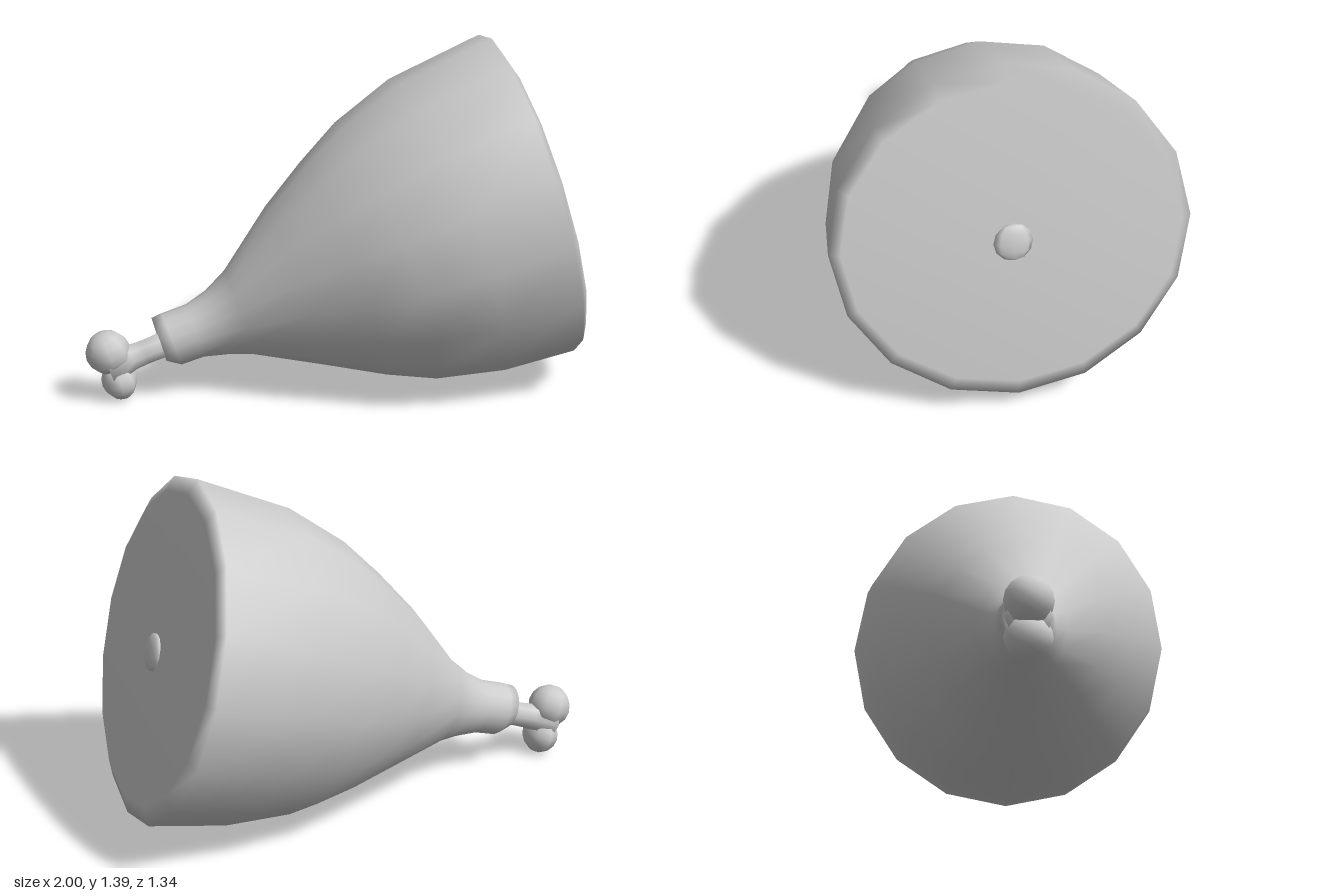
import * as THREE from 'three';

const SIDES = 16;

// Closed loft through oval rings. Each ring: [topX, topY, bottomX, bottomY, halfWidth, yaw]
function loft(rings, sides) {
  const pos = [], index = [];
  const mid = ([tx, ty, bx, by]) => [(tx + bx) / 2, (ty + by) / 2, 0];
  for (const ring of rings) {
    const [tx, ty, bx, by, w, yaw = 0] = ring;
    const [cx, cy] = mid(ring);
    for (let i = 0; i < sides; i++) {
      const a = (i / sides) * Math.PI * 2;
      const c = Math.cos(a), z = w * Math.sin(a);
      pos.push(cx + (c * (tx - bx)) / 2 - yaw * z, cy + (c * (ty - by)) / 2 - yaw * z * 0.2, z);
    }
  }
  const start = pos.length / 3, end = start + 1, last = (rings.length - 1) * sides;
  pos.push(...mid(rings[0]), ...mid(rings[rings.length - 1]));
  for (let i = 0; i < sides; i++) {
    const j = (i + 1) % sides;
    for (let r = 0; r < last; r += sides) {
      index.push(r + i, r + j, r + sides + i, r + j, r + sides + j, r + sides + i);
    }
    index.push(start, j, i, end, last + i, last + j);
  }
  const g = new THREE.BufferGeometry();
  g.setAttribute('position', new THREE.Float32BufferAttribute(pos, 3));
  g.setIndex(index);
  g.computeVertexNormals();
  return g;
}

export function createModel() {
  const model = new THREE.Group();
  model.name = 'drumstick';
  const material = new THREE.MeshStandardMaterial({ color: 0xcccccc });
  const add = (name, geometry, x = 0, y = 0, parent = model) => {
    const mesh = new THREE.Mesh(geometry, material);
    mesh.name = name;
    mesh.position.set(x, y, 0);
    parent.add(mesh);
    return mesh;
  };

  // Meat: narrow cuff swelling to a broad, slightly tilted cut face
  add('meat', loft([
    [-0.71, 0.28, -0.68, 0.165, 0.065],
    [-0.73, 0.33, -0.68, 0.155, 0.09],
    [-0.69, 0.345, -0.62, 0.135, 0.106],
    [-0.59, 0.375, -0.53, 0.16, 0.108],
    [-0.51, 0.425, -0.43, 0.163, 0.13],
    [-0.43, 0.5, -0.33, 0.157, 0.175],
    [-0.25, 0.75, -0.05, 0.098, 0.335],
    [-0.1, 0.92, 0.2, 0.04, 0.45],
    [0.05, 1.07, 0.4, 0.013, 0.555],
    [0.28, 1.235, 0.68, 0.03, 0.635],
    [0.65, 1.395, 0.98, 0.092, 0.67, 0.055],
    [0.69, 1.34, 0.995, 0.17, 0.63, 0.055],
  ], SIDES));

  // Bone shaft, flaring into the knuckles
  const shaft = [[0, 0], [0.085, 0], [0.055, 0.1], [0.052, 0.16], [0.055, 0.3], [0, 0.3]]
    .map(([r, y]) => new THREE.Vector2(r, y));
  add('boneShaft', new THREE.LatheGeometry(shaft, 8), -0.91, 0.145).rotation.z = -Math.PI / 2 + 0.32;

  // Two rounded knuckles
  add('upperKnuckle', new THREE.SphereGeometry(0.09, 8, 8), -0.91, 0.207).rotation.z = 0.32;
  const lower = add('lowerKnuckle', new THREE.SphereGeometry(0.08, 8, 8), -0.87, 0.085);
  lower.rotation.z = 0.32;
  lower.scale.set(0.88, 1, 1.1);

  // Domed end of the bone in the cut face
  const boneEnd = add('boneEnd', new THREE.SphereGeometry(0.075, 8, 6), 0.85, 0.737);
  boneEnd.rotation.z = 0.25;
  boneEnd.scale.x = 0.3;
  return model;
}
